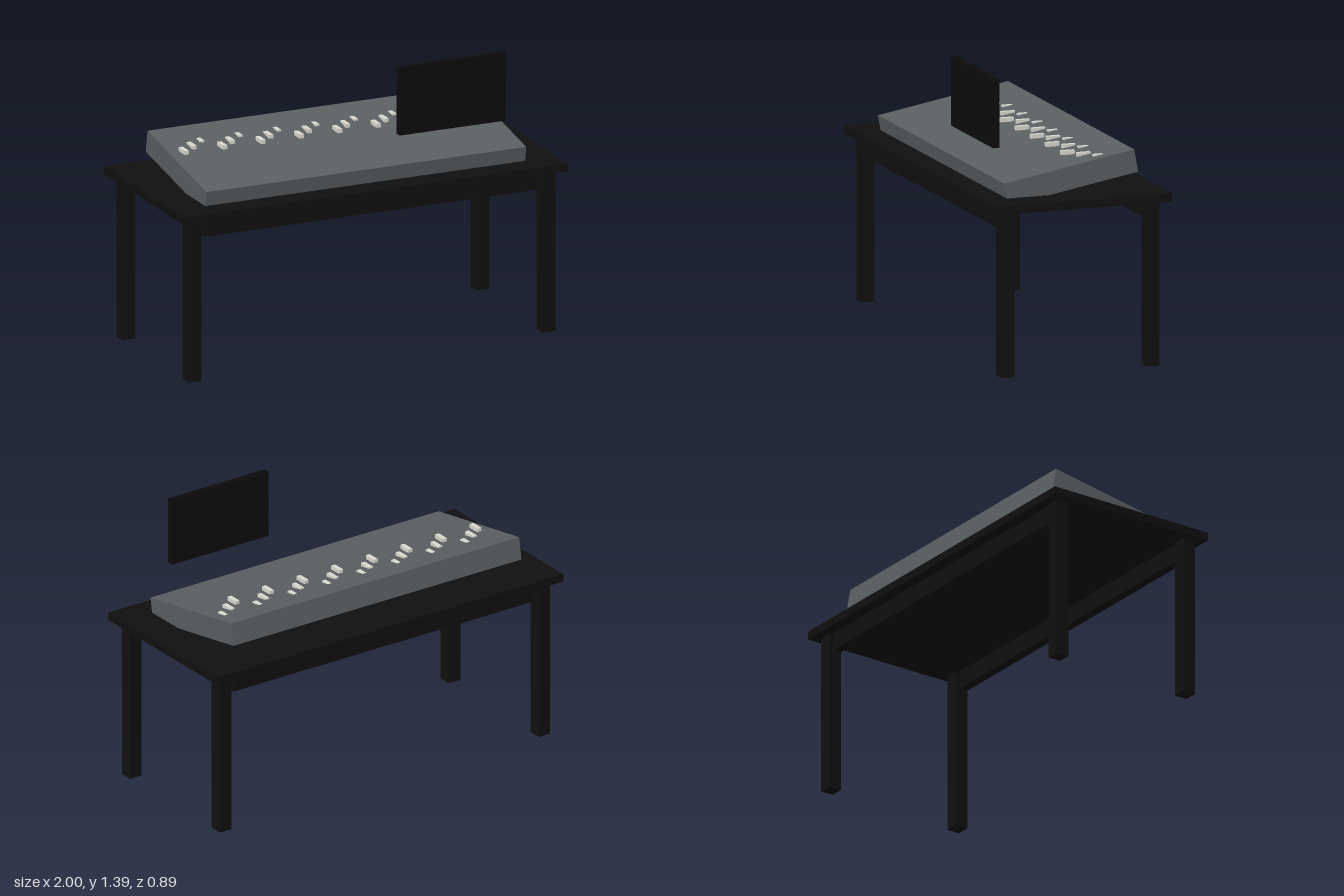
import * as THREE from 'three';

const material = (name, color) => {
  const m = new THREE.MeshStandardMaterial({ color });
  m.name = name;
  return m;
};

export function createModel() {
  const black = material('table black', 0x101010);
  const screenBlack = material('screen black', 0x0c0c0c);
  const grey = material('console grey', 0x5a5f62);
  const ivory = material('fader ivory', 0xdadad0);

  const model = new THREE.Group();
  model.name = 'mixingDesk';

  const box = (name, mat, size, pos, parent = model) => {
    const mesh = new THREE.Mesh(new THREE.BoxGeometry(...size), mat);
    mesh.name = name;
    mesh.position.set(...pos);
    parent.add(mesh);
    return mesh;
  };

  // Table: top, four legs, and an apron along the front and back
  const table = new THREE.Group();
  table.name = 'table';
  model.add(table);
  box('tableTop', black, [2, 0.04, 0.89], [0, 0.817, 0], table);
  for (const z of [-1, 1]) {
    const side = z > 0 ? 'front' : 'back';
    box(side + 'Apron', black, [1.734, 0.095, 0.044], [0, 0.755, z * 0.367], table);
    for (const x of [-1, 1]) {
      box(side + (x > 0 ? 'LeftLeg' : 'RightLeg'), black,
        [0.067, 0.8, 0.067], [x * 0.922, 0.4, z * 0.367], table);
    }
  }

  // Console: a slab tilted down towards the front
  const consoleBody = box('consoleBody', grey, [1.667, 0.111, 0.667], [0, 0.913, 0]);
  consoleBody.rotation.x = THREE.MathUtils.degToRad(10);

  // Faders: level blocks stepping back in repeating groups of three
  const faders = new THREE.Group();
  faders.name = 'faders';
  model.add(faders);
  for (let i = 0; i < 24; i++) {
    box('fader' + (i + 1), ivory, [0.022, 0.02, 0.067],
      [(i - 11.5) * 0.0667, 0.992, -0.057 - (i % 3) * 0.056], faders);
  }

  // Monitor floating above the front edge
  box('monitor', screenBlack, [0.556, 0.334, 0.033], [0.444, 1.226, 0.335]);

  return model;
}
